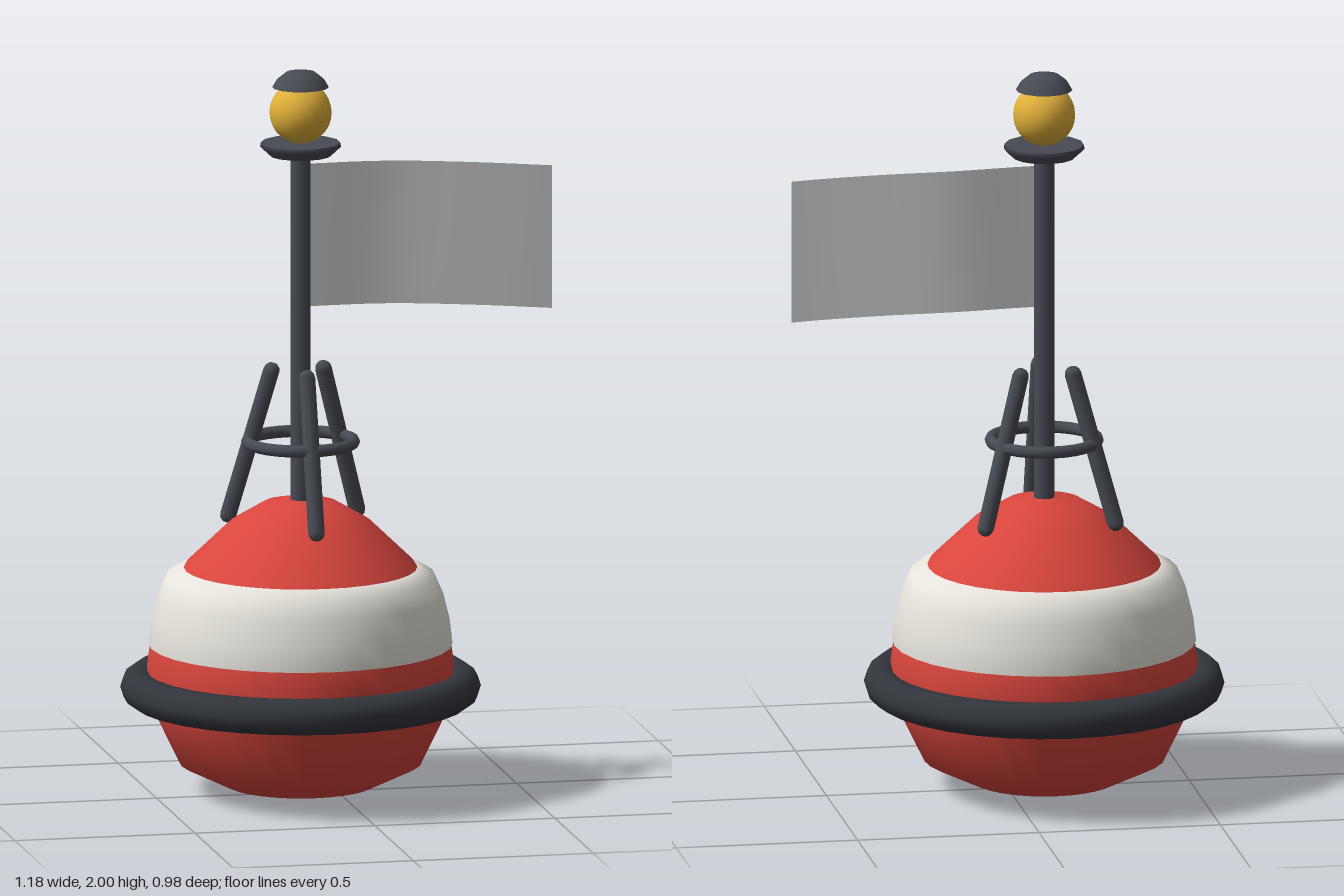
import * as THREE from 'three';

const paint = (color) => new THREE.MeshStandardMaterial({ color });
const RED = paint(0xd9463d), WHITE = paint(0xe6e4dc), STEEL = paint(0x474b53);
const RUBBER = paint(0x32363c), GOLD = paint(0xe0b03a);

function add(parent, name, geometry, material, x = 0, y = 0, z = 0) {
  const mesh = new THREE.Mesh(geometry, material);
  mesh.name = name;
  mesh.position.set(x, y, z);
  parent.add(mesh);
  return mesh;
}

const lathe = (points, segments) =>
  new THREE.LatheGeometry(points.map(([r, y]) => new THREE.Vector2(r, y)), segments);

// Rounded bar between two points
function bar(parent, name, a, b, radius) {
  const dir = b.clone().sub(a);
  const mesh = add(parent, name,
    new THREE.CapsuleGeometry(radius, dir.length() - 2 * radius, 3, 10), STEEL);
  mesh.position.copy(a).add(b).multiplyScalar(0.5);
  mesh.quaternion.setFromUnitVectors(new THREE.Vector3(0, 1, 0), dir.normalize());
}

// Waving cloth: a plane bent along its length
function flagGeometry(length, height) {
  const wave = new THREE.SplineCurve([[0, 0], [0.33, -0.01], [0.7, 0.014], [1, 0.037]]
    .map(([t, z]) => new THREE.Vector2(t, z)));
  const geometry = new THREE.PlaneGeometry(length, height, 12, 1);
  const p = geometry.attributes.position;
  for (let i = 0; i < p.count; i++) {
    const t = THREE.MathUtils.clamp(p.getX(i) / length + 0.5, 0, 1);
    p.setXYZ(i, t * length, p.getY(i) - 0.025 * t * t, wave.getPoint(t).y);
  }
  geometry.computeVertexNormals();
  return geometry;
}

export function createModel() {
  const model = new THREE.Group();
  model.name = 'buoy';
  const buoy = new THREE.Group();
  buoy.name = 'buoyBody';
  buoy.position.x = -0.1;
  model.add(buoy);

  // Float with painted band and fender
  add(buoy, 'hull', lathe([[0, 0], [0.2, 0.022], [0.33, 0.085], [0.405, 0.24], [0.418, 0.35],
    [0.408, 0.42], [0.38, 0.53], [0.31, 0.635], [0.19, 0.75], [0.1, 0.803], [0, 0.815]], 32), RED);
  add(buoy, 'whiteBand', lathe([[0.405, 0.41], [0.413, 0.412], [0.405, 0.48], [0.388, 0.55],
    [0.365, 0.603], [0.325, 0.624], [0.305, 0.624]], 32), WHITE);
  add(buoy, 'fenderRing', new THREE.TorusGeometry(0.44, 0.05, 10, 32).rotateX(Math.PI / 2),
    RUBBER, 0, 0.295);

  // Mast, three braces and their hoop
  add(buoy, 'mast', new THREE.CylinderGeometry(0.028, 0.028, 1.02, 12), STEEL, 0, 1.27);
  for (let i = 0; i < 3; i++) {
    const angle = i * Math.PI * 2 / 3;
    const at = (r, y) => new THREE.Vector3(Math.sin(angle) * r, y, Math.cos(angle) * r);
    bar(buoy, 'brace', at(0.213, 0.735), at(0.077, 1.185), 0.023);
  }
  add(buoy, 'braceHoop', new THREE.TorusGeometry(0.145, 0.017, 8, 28).rotateX(Math.PI / 2),
    STEEL, 0, 0.972);

  // Lantern
  add(buoy, 'lampBase', lathe([[0, 1.765], [0.085, 1.765], [0.085, 1.765], [0.11, 1.788],
    [0.108, 1.8], [0.108, 1.8], [0, 1.8]], 14), STEEL);
  add(buoy, 'lampGlobe', new THREE.SphereGeometry(0.085, 20, 14), GOLD, 0, 1.883);
  add(buoy, 'lampCap', lathe([[0, 1.953], [0.077, 1.953], [0.077, 1.953], [0.064, 1.975],
    [0.04, 1.994], [0, 2]], 14), STEEL);

  // Flag
  const cloth = new THREE.MeshStandardMaterial({ color: 0xcccccc, side: THREE.DoubleSide });
  add(buoy, 'flag', flagGeometry(0.665, 0.395), cloth, 0.025, 1.5425);
  return model;
}
